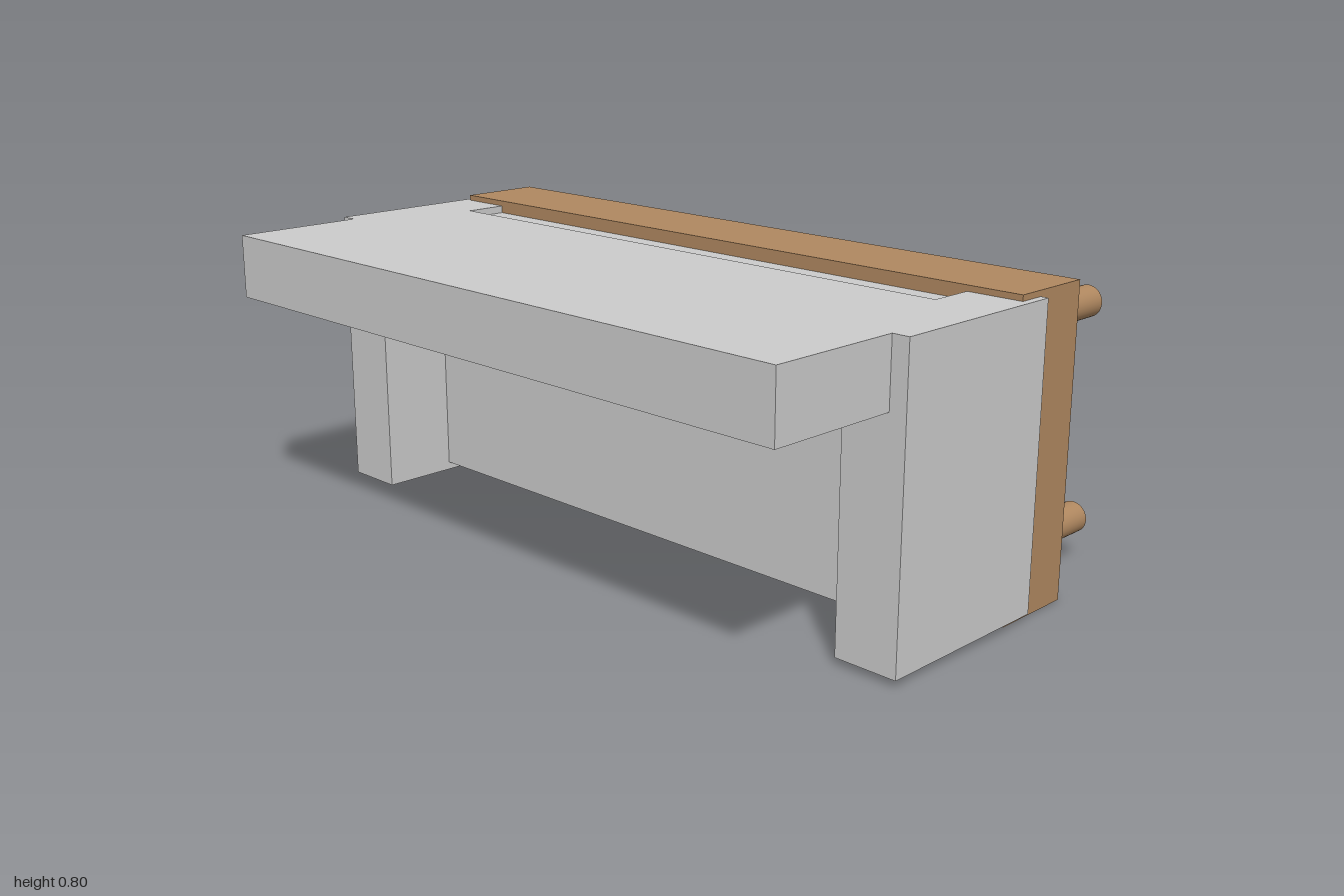
import * as THREE from 'three';

export function createModel() {
  const model = new THREE.Group();
  const grey = new THREE.MeshStandardMaterial({ color: 0xcccccc });
  const wood = new THREE.MeshStandardMaterial({ color: 0xb08860 });

  const add = (name, geometry, material) => {
    const mesh = new THREE.Mesh(geometry, material);
    mesh.name = name;
    model.add(mesh);
    return mesh;
  };

  // Box given by its limits on each axis
  const box = (name, [x0, x1], [y0, y1], [z0, z1], material) =>
    add(name, new THREE.BoxGeometry(x1 - x0, y1 - y0, z1 - z0), material)
      .position.set((x0 + x1) / 2, (y0 + y1) / 2, (z0 + z1) / 2);

  // Wooden backing slab
  box('backSlab', [-0.98, 0.98], [0, 0.8], [-0.385, -0.15], wood);

  // Recessed panel between the side pillars
  box('innerPanel', [-0.83, 0.83], [0.04, 0.765], [-0.15, 0.08], grey);

  // Side pillars, overlapping the slab edges
  box('leftPillar', [0.83, 1], [0.018, 0.785], [-0.222, 0.29], grey);
  box('rightPillar', [-1, -0.83], [0.018, 0.785], [-0.222, 0.29], grey);

  // Shelf: narrow between the pillars, wider in front of them
  const outline = [
    [-0.83, -0.03], [0.83, -0.03], [0.83, 0.29], [0.955, 0.29],
    [0.955, 0.65], [-0.955, 0.65], [-0.955, 0.29], [-0.83, 0.29],
  ].map(([x, z]) => new THREE.Vector2(x, z));
  const shelf = new THREE.ExtrudeGeometry(new THREE.Shape(outline), { depth: 0.17, bevelEnabled: false });
  shelf.rotateX(Math.PI / 2);
  add('shelf', shelf, grey).position.y = 0.785;

  // Four mounting pegs at the back
  const peg = new THREE.CylinderGeometry(0.041, 0.041, 0.27, 32).rotateX(Math.PI / 2);
  for (const x of [-0.847, 0.847]) {
    for (const y of [0.114, 0.686]) add('mountingPeg', peg, wood).position.set(x, y, -0.515);
  }

  return model;
}
